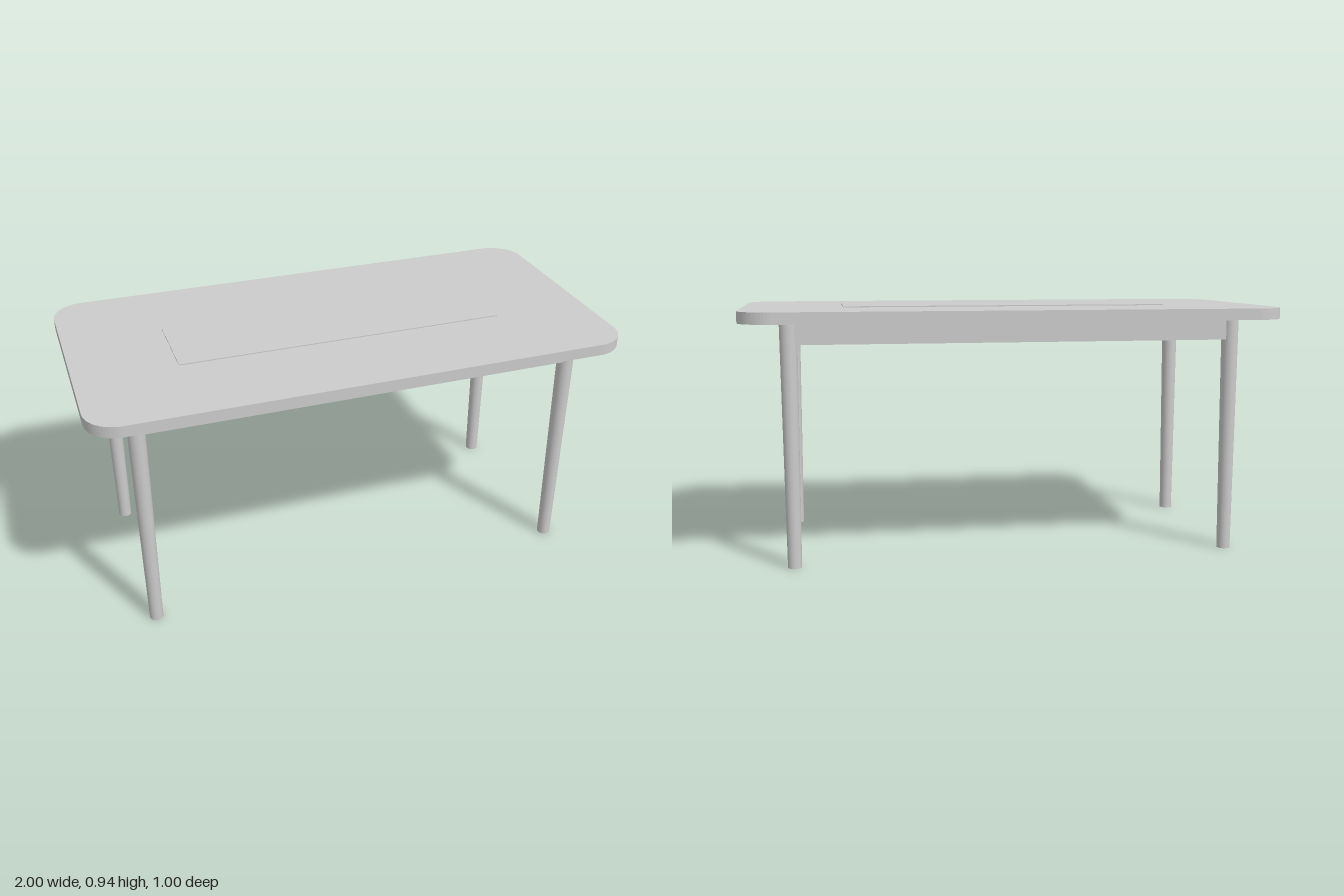
import * as THREE from 'three';

export function createModel() {
  const table = new THREE.Group();
  table.name = 'table';
  const grey = new THREE.MeshStandardMaterial({ color: 0xcccccc });
  grey.name = 'light grey';

  function add(name, geometry, x, y, z) {
    const mesh = new THREE.Mesh(geometry, grey);
    mesh.name = name;
    mesh.position.set(x, y, z);
    table.add(mesh);
  }

  // Table top: a slab with rounded corners
  const w = 1, d = 0.5, r = 0.12;
  const outline = new THREE.Shape();
  outline.absarc(w - r, d - r, r, 0, Math.PI / 2);
  outline.absarc(r - w, d - r, r, Math.PI / 2, Math.PI);
  outline.absarc(r - w, r - d, r, Math.PI, Math.PI * 1.5);
  outline.absarc(w - r, r - d, r, Math.PI * 1.5, Math.PI * 2);
  outline.closePath();
  const slab = new THREE.ExtrudeGeometry(outline, { depth: 0.042, bevelEnabled: false, curveSegments: 8 });
  slab.rotateX(-Math.PI / 2);
  add('tableTop', slab, 0, 0.895, 0);

  // Thin raised panel in the middle of the top
  add('centrePanel', new THREE.BoxGeometry(1.25, 0.008, 0.3), 0, 0.937, 0);

  // Solid apron under the top, its corners just reaching through the legs
  add('apron', new THREE.BoxGeometry(1.695, 0.08, 0.746), 0, 0.855, 0);

  // Four round legs, tapering towards the floor
  const leg = new THREE.CylinderGeometry(0.032, 0.0255, 0.895, 24);
  for (const [side, sx] of [['Left', 1], ['Right', -1]]) {
    for (const [end, sz] of [['front', 1], ['back', -1]]) {
      add(`${end}${side}Leg`, leg, sx * 0.825, 0.4475, sz * 0.351);
    }
  }
  return table;
}
